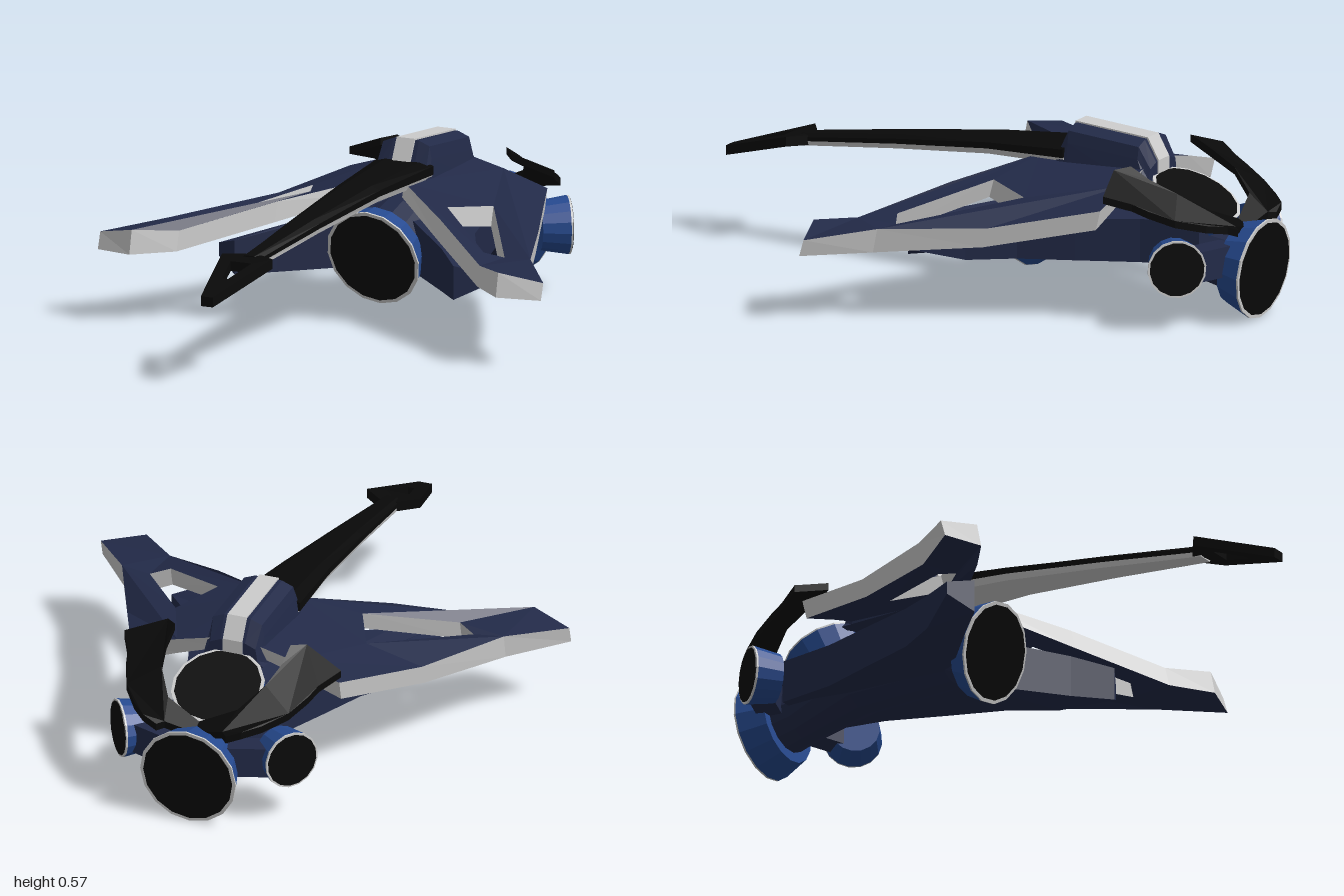
import * as THREE from 'three';

const mat = (color) => new THREE.MeshStandardMaterial({ color, flatShading: true, side: THREE.DoubleSide });
const navy = mat(0x222a48), blue = mat(0x264a90), black = mat(0x090909), grey = mat(0xcccccc);

function mesh(name, geometry, material) {
  const m = new THREE.Mesh(geometry, material);
  m.name = name;
  return m;
}

// Straight-line interpolation through [x, y] pairs
function ramp(pairs, x) {
  if (x <= pairs[0][0]) return pairs[0][1];
  for (let i = 1; i < pairs.length; i++) {
    const [x0, y0] = pairs[i - 1], [x1, y1] = pairs[i];
    if (x <= x1) return y0 + (y1 - y0) * (x - x0) / (x1 - x0);
  }
  return pairs[pairs.length - 1][1];
}

// Plate outlined in x/z with top and bottom heights given by functions;
// "lean" moves the underside forward so the front edge slopes
function plate(points, hole, top, bottom, sx = 1, lean = 0) {
  const toV = ([x, z]) => new THREE.Vector2(x * sx, -z);
  const shape = new THREE.Shape(points.map(toV));
  if (hole) shape.holes.push(new THREE.Path(hole.map(toV)));
  const g = new THREE.ExtrudeGeometry(shape, { depth: 1, bevelEnabled: false });
  g.rotateX(-Math.PI / 2);
  const p = g.attributes.position;
  for (let i = 0; i < p.count; i++) {
    const x = Math.abs(p.getX(i)), z = p.getZ(i), upper = p.getY(i) > 0.5;
    p.setY(i, upper ? top(x, z) : bottom(x, z));
    if (!upper) p.setZ(i, z + lean);
  }
  g.computeVertexNormals();
  return g;
}

// Closed hull through rings ordered by rising z, each counterclockwise seen from +z
function loft(rings) {
  const n = rings[0].length, index = [];
  for (let i = 0; i < rings.length - 1; i++)
    for (let j = 0; j < n; j++) {
      const k = (j + 1) % n, a = i * n + j, b = i * n + k;
      index.push(a, b, b + n, a, b + n, a + n);
    }
  const last = (rings.length - 1) * n;
  for (let j = 1; j < n - 1; j++) index.push(last, last + j, last + j + 1, 0, j + 1, j);
  const g = new THREE.BufferGeometry();
  g.setAttribute('position', new THREE.Float32BufferAttribute(rings.flat(2), 3));
  g.setIndex(index);
  const flat = g.toNonIndexed();
  flat.computeVertexNormals();
  return flat;
}

// Drum with a grey rim and dark face; "face" is the face centre, "dir" where it looks
function drum(name, r, rBack, length, face, dir) {
  const g = new THREE.Group();
  g.name = name;
  const body = mesh(name + 'Shell', new THREE.CylinderGeometry(r, rBack, length, 16), blue);
  body.position.y = -length / 2 - 0.006;
  const rim = mesh(name + 'Rim', new THREE.CylinderGeometry(r, r, 0.006, 16), grey);
  rim.position.y = -0.003;
  const disc = mesh(name + 'Face', new THREE.CylinderGeometry(r * 0.93, r * 0.93, 0.003, 16), black);
  disc.position.y = 0.001;
  g.add(body, rim, disc);
  g.position.set(...face);
  g.quaternion.setFromUnitVectors(new THREE.Vector3(0, 1, 0), new THREE.Vector3(...dir).normalize());
  return g;
}

export function createModel() {
  const model = new THREE.Group();
  model.name = 'spacecraft';

  // Fuselage: rounded tube between intake and rear thruster
  const hull = [[-0.93, 0.17, 0.11], [-0.82, 0.19, 0.1], [-0.6, 0.27, 0.13], [-0.24, 0.26, 0.12], [-0.15, 0.22, 0.13]];
  model.add(mesh('fuselage', loft(hull.map(([z, cy, r]) => Array.from({ length: 14 }, (_, i) => {
    const a = i / 14 * Math.PI * 2;
    return [r * Math.cos(a), cy + r * Math.sin(a), z];
  }))), navy));

  // Round intake, rear thruster, top vent
  model.add(drum('frontIntake', 0.165, 0.15, 0.06, [0, 0.215, -0.09], [0, -0.3, 0.95]));
  model.add(drum('rearThruster', 0.165, 0.135, 0.09, [0, 0.166, -0.985], [0, -0.09, -1]));
  model.add(drum('topVent', 0.152, 0.135, 0.09, [0, 0.375, -0.735], [0, 0.9, -0.43]));

  // Raised cowl with centre stripe
  const cowl = [[-0.61, 0.475, 0.085], [-0.57, 0.545, 0.092], [-0.31, 0.562, 0.092], [-0.27, 0.475, 0.1]];
  model.add(mesh('cowl', loft(cowl.map(([z, y, w]) => [
    [0.105, 0.4, z], [w, y - 0.055, z], [w * 0.92, y - 0.015, z], [w * 0.5, y, z],
    [-w * 0.5, y, z], [-w * 0.92, y - 0.015, z], [-w, y - 0.055, z], [-0.105, 0.4, z]])), navy));
  model.add(mesh('cowlStripe', loft(cowl.map(([z, y], i) => {
    const e = z + (i < 2 ? -0.004 : 0.004);
    return [[0.033, 0.42, e], [0.033, y + 0.005, e], [-0.033, y + 0.005, e], [-0.033, 0.42, e]];
  })), grey));

  // Long curved nose spear: dark top, pale underside strip (z, top, half width, depth)
  const spear = [[-0.3, 0.499, 0.105, 0.065], [0, 0.473, 0.077, 0.052], [0.35, 0.428, 0.053, 0.046], [0.72, 0.374, 0.03, 0.04]];
  model.add(mesh('noseSpear', loft(spear.map(([z, y, w, d]) => [
    [w, y - d * 0.62, z], [w, y - 0.012, z], [w * 0.6, y, z],
    [-w * 0.6, y, z], [-w, y - 0.012, z], [-w, y - d * 0.62, z]])), black));
  model.add(mesh('noseSpearStrip', loft(spear.map(([z, y, w, d]) => [
    [w * 0.85, y - d, z], [w * 0.97, y - d * 0.62, z],
    [-w * 0.97, y - d * 0.62, z], [-w * 0.85, y - d, z]])), grey));

  // Open arrowhead at the spear's end
  const headTop = (x, z) => ramp([[0.69, 0.372], [0.73, 0.377], [1, 0.292]], z);
  const head = plate(
    [[0.03, 0.69], [0.092, 0.735], [0.022, 1], [-0.022, 1], [-0.092, 0.735], [-0.03, 0.69]],
    [[-0.038, 0.775], [0.038, 0.775], [0.011, 0.88], [-0.011, 0.88]],
    headTop, (x, z) => headTop(x, z) - 0.032);
  model.add(mesh('spearHead', head, black));

  // Height rules for wings and armour
  const rearRise = (z) => ramp([[-0.59, 0.022], [-0.15, 0]], z);
  const wingTop = (x, z) => ramp([[0.08, 0.447], [0.3, 0.385], [0.36, 0.365], [0.55, 0.3], [0.67, 0.308], [0.81, 0.28]], x) + rearRise(z);
  const wingBottom = (x, z) => wingTop(x, z) - ramp([[0.08, 0.045], [0.3, 0.065], [0.55, 0.065], [0.66, 0.08], [0.81, 0.055]], x);
  const lowTop = (x) => ramp([[0.08, 0.33], [0.3, 0.295], [0.49, 0.24]], x);
  const lowBottom = (x, z) => 0.155 + Math.max(0, x - 0.43) * 0.8 + Math.max(0, -z) * 0.03;
  const armourTop = (x, z) => 0.515 - 0.33 * Math.max(0, x - 0.17) - 0.5 * Math.max(0, -0.6 - z)
    - 0.3 * Math.max(0, 0.17 - x);

  for (const [side, s] of [['left', 1], ['right', -1]]) {
    const group = new THREE.Group();
    group.name = side + 'Side';

    // Upper swept wing with triangular opening and pale edges
    group.add(mesh(side + 'UpperWing', plate(
      [[0.06, -0.59], [0.2, -0.59], [0.36, -0.59], [0.51, -0.26], [0.66, 0.06], [0.81, 0.245], [0.67, 0.29],
        [0.55, 0.195], [0.3, 0], [0.06, -0.19]],
      [[0.33, -0.29], [0.56, 0.05], [0.5, 0.08], [0.25, -0.13]],
      wingTop, wingBottom, s, 0.016), [navy, grey]));

    // Lower wing tucked beneath
    group.add(mesh(side + 'LowerWing', plate(
      [[0.06, -0.82], [0.13, -0.82], [0.16, -0.62], [0.23, -0.42], [0.29, -0.24], [0.375, -0.1], [0.485, 0.05],
        [0.4, 0.1], [0.3, 0], [0.06, -0.22]],
      null, lowTop, lowBottom, s), navy));

    // Crescent armour around the top vent
    group.add(mesh(side + 'Armour', plate(
      [[0, -0.93], [0.1, -0.94], [0.12, -0.96], [0.17, -0.95], [0.22, -0.9], [0.28, -0.82], [0.315, -0.74],
        [0.33, -0.69], [0.375, -0.61], [0.24, -0.57], [0.2, -0.61], [0.2, -0.68], [0.18, -0.77],
        [0.12, -0.86], [0, -0.89]],
      null, armourTop, (x, z) => armourTop(x, z) - 0.024, s), black));

    // Side thruster pod and its strut
    group.add(drum(side + 'Thruster', 0.095, 0.08, 0.09, [0.3 * s, 0.215, -0.84], [0.79 * s, 0, -0.62]));
    const strut = mesh(side + 'ThrusterStrut', new THREE.BoxGeometry(0.2, 0.1, 0.08), navy);
    strut.position.set(0.15 * s, 0.21, -0.87);
    strut.rotation.y = -0.35 * s;
    group.add(strut);

    model.add(group);
  }
  return model;
}
